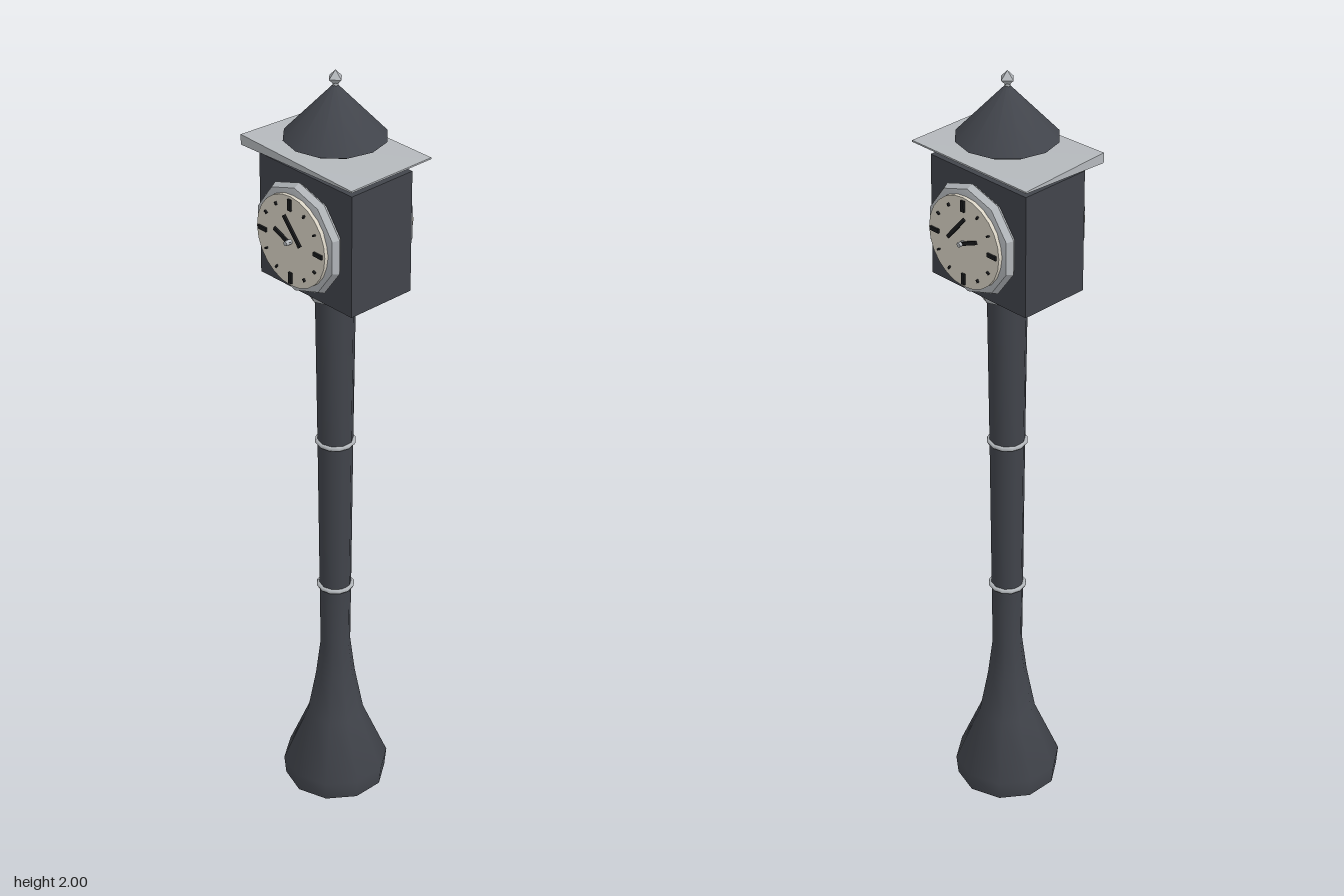
import * as THREE from 'three';
import { toCreasedNormals } from 'three/addons/utils/BufferGeometryUtils.js';

const mat = (color) => new THREE.MeshStandardMaterial({ color });
const iron = mat(0x41444b), black = mat(0x1a1b1d), silver = mat(0xb4b8bc), cream = mat(0xd8d2c4);

export function createModel() {
  const model = new THREE.Group();

  const add = (parent, name, geometry, material, x = 0, y = 0, z = 0) => {
    const mesh = new THREE.Mesh(geometry, material);
    mesh.name = name;
    mesh.position.set(x, y, z);
    parent.add(mesh);
    return mesh;
  };
  const lathe = (points, sides, crease = 0.6) => toCreasedNormals(
    new THREE.LatheGeometry(points.map(([r, y]) => new THREE.Vector2(r, y)), sides), crease);

  // Flared foot running into a slender post
  add(model, 'post', lathe([[0, 0.005], [0.13, 0], [0.135, 0.05], [0.072, 0.2], [0.05, 0.32],
    [0.038, 0.42], [0.04, 0.6], [0.044, 1.02], [0.049, 1.43], [0, 1.43]], 10, 0.8), iron);
  for (const [y, r] of [[0.595, 0.042], [1.02, 0.045]]) {
    add(model, 'postRing', new THREE.TorusGeometry(r, 0.006, 6, 12), silver, 0, y).rotation.x = Math.PI / 2;
  }
  add(model, 'collar', lathe([[0, 1.425], [0.068, 1.428], [0.085, 1.462], [0, 1.462]], 8), silver);

  // Clock housing
  add(model, 'housing', new THREE.BoxGeometry(0.31, 0.31, 0.19), iron, 0, 1.615);

  // Thin roof plate, thick at one front corner only
  const plate = new THREE.BoxGeometry(0.37, 0.026, 0.25);
  const p = plate.attributes.position;
  for (let i = 0; i < p.count; i++) {
    if (p.getX(i) > 0 || p.getZ(i) < 0) p.setY(i, Math.sign(p.getY(i)) * 0.002);
  }
  plate.computeVertexNormals();
  add(model, 'roofPlate', plate, silver, 0, 1.803);

  // Conical roof and finial
  add(model, 'roofCone', lathe([[0, 1.83], [0.11, 1.83], [0.123, 1.837], [0.006, 1.963], [0, 1.965]], 12), iron);
  add(model, 'finialStem', new THREE.CylinderGeometry(0.007, 0.007, 0.03, 6), silver, 0, 1.965);
  add(model, 'finial', new THREE.OctahedronGeometry(0.02), silver, 0, 1.98);

  // Two dials, the rear one mirrored
  const bezel = lathe([[0.13, 0], [0.14, 0.012], [0.132, 0.028], [0.116, 0.032], [0, 0.03]], 10, 0.5);
  const dial = new THREE.CylinderGeometry(0.115, 0.115, 0.032, 24);
  for (const s of [1, -1]) {
    const clock = new THREE.Group();
    clock.name = s > 0 ? 'frontClock' : 'backClock';
    clock.position.y = 1.615;
    model.add(clock);
    add(clock, 'bezel', bezel, silver, 0, 0, s * 0.1).rotation.x = s * Math.PI / 2;
    add(clock, 'dial', dial, cream, 0, 0, s * 0.125).rotation.x = Math.PI / 2;

    // Hour marks, longer at the quarters
    for (let h = 0; h < 12; h++) {
      const a = h * Math.PI / 6, big = h % 3 === 0;
      const size = big ? [0.01, 0.028, 0.006] : [0.004, 0.008, 0.006];
      add(clock, 'hourMark', new THREE.BoxGeometry(...size), black,
        Math.sin(a) * 0.094, Math.cos(a) * 0.094, s * 0.143).rotation.z = -a;
    }

    // Hands, given by their end points
    const hand = (name, x0, y0, x1, y1, width, z) => {
      const length = Math.hypot(x1 - x0, y1 - y0);
      add(clock, name, new THREE.BoxGeometry(length, width, 0.005), black,
        (x0 + x1) / 2, (y0 + y1) / 2, s * z).rotation.z = Math.atan2(y1 - y0, x1 - x0);
    };
    hand('minuteHand', -0.012, 0.067, 0.042, 0.004, 0.009, 0.151);
    hand('hourHand', -0.048, 0.02, 0.004, -0.002, 0.009, 0.148);
    add(clock, 'hub', new THREE.CylinderGeometry(0.006, 0.006, 0.02, 8), silver, 0, 0, s * 0.148)
      .rotation.x = Math.PI / 2;
  }
  return model;
}
